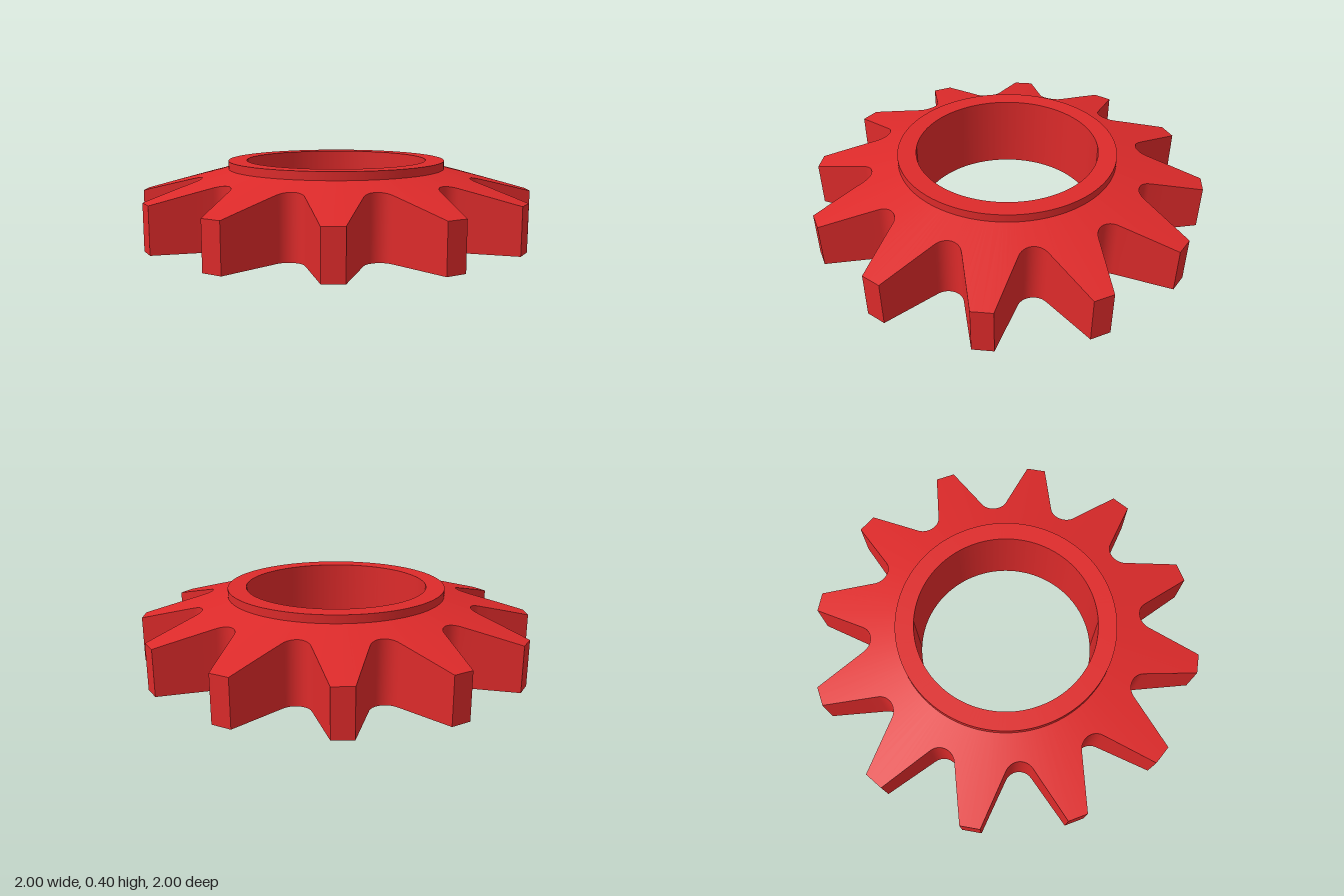
import * as THREE from 'three';
import { toCreasedNormals } from 'three/addons/utils/BufferGeometryUtils.js';

const TEETH = 12;
const BORE = 0.472, COLLAR = 0.568, COLLAR_TOP = 0.397, CONE_TOP = 0.355, SLOPE = 0.264;
const FILLET = 0.077, FILLET_Z = 0.782; // rounded valley between two teeth
const CORNER = [0.215, 1.0];            // tooth corner beside a valley

// Outline of one valley and half of each neighbouring tooth, as [angle, radius]
function valleyOutline() {
  const arc = [];
  for (let i = 0; i <= 12; i++) {
    const a = THREE.MathUtils.degToRad(-60 + i * 10);
    arc.push([FILLET * Math.sin(a), FILLET_Z - FILLET * Math.cos(a)]);
  }
  const end = arc[arc.length - 1];
  const flank = [];
  for (let i = 1; i <= 4; i++) {
    const t = i / 4;
    flank.push([THREE.MathUtils.lerp(end[0], CORNER[0], t), THREE.MathUtils.lerp(end[1], CORNER[1], t)]);
  }
  const mirrored = flank.map(([x, z]) => [-x, z]).reverse();
  const polar = [...mirrored, ...arc, ...flank].map(([x, z]) => [Math.atan2(x, z), Math.hypot(x, z)]);
  polar.push([Math.PI / TEETH, 1.0215]); // middle of the flat tooth tip
  return polar;
}

// Radial cross-section reaching out to the tooth outline
function section(angle, radius) {
  const rim = CONE_TOP - SLOPE * (radius - COLLAR);
  return [
    [BORE, 0], [radius, 0], [radius, rim],
    [COLLAR, CONE_TOP], [COLLAR, COLLAR_TOP], [BORE, COLLAR_TOP],
  ].map(([r, y]) => [r * Math.sin(angle), y, r * Math.cos(angle)]);
}

// Sweep the changing cross-section once around the axis
function sprocketGeometry() {
  const valley = valleyOutline();
  const rings = [];
  for (let k = 0; k < TEETH; k++) {
    for (const [a, r] of valley) rings.push(section(a + (k * 2 * Math.PI) / TEETH, r));
  }
  const n = rings.length, m = rings[0].length;
  const index = [];
  for (let i = 0; i < n; i++) {
    for (let j = 0; j < m; j++) {
      const i2 = (i + 1) % n, j2 = (j + 1) % m;
      const a = i * m + j, b = i2 * m + j, c = i2 * m + j2, d = i * m + j2;
      index.push(a, b, c, a, c, d);
    }
  }
  const geometry = new THREE.BufferGeometry();
  geometry.setAttribute('position', new THREE.Float32BufferAttribute(rings.flat(2), 3));
  geometry.setIndex(index);
  return toCreasedNormals(geometry, 0.4);
}

export function createModel() {
  const group = new THREE.Group();
  group.name = 'sprocket';
  const red = new THREE.MeshStandardMaterial({ color: 0xdd2a2a });
  const body = new THREE.Mesh(sprocketGeometry(), red);
  body.name = 'toothedRing';
  group.add(body);
  return group;
}
